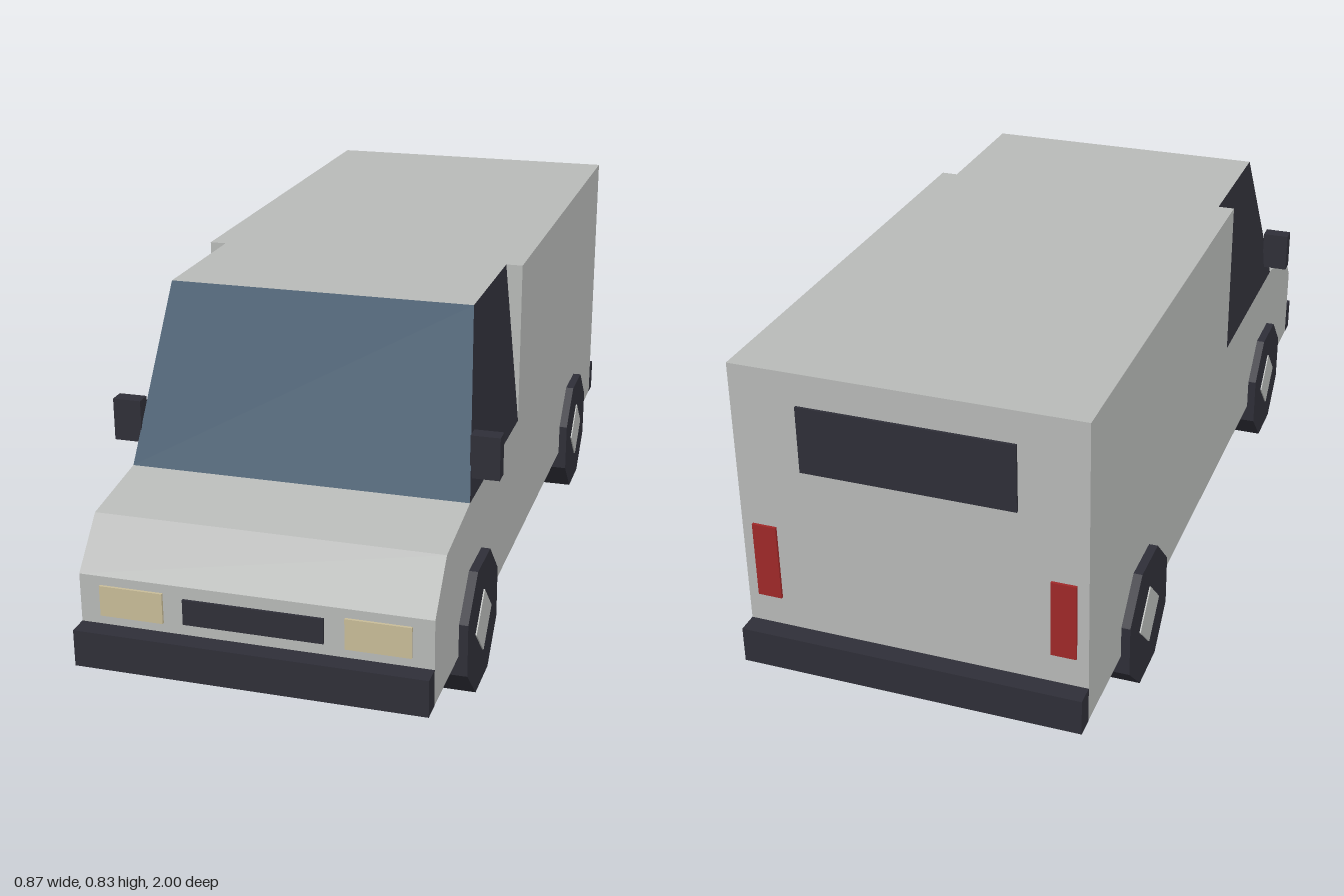
import * as THREE from 'three';

const mat = (name, color) => {
  const m = new THREE.MeshStandardMaterial({ color });
  m.name = name;
  return m;
};

// Flat convex panels, each a loop of [x, y, z] corners, fanned into triangles
function panelGeometry(loops) {
  const pos = [];
  for (const loop of loops) {
    for (let i = 1; i < loop.length - 1; i++) pos.push(...loop[0], ...loop[i], ...loop[i + 1]);
  }
  const geo = new THREE.BufferGeometry();
  geo.setAttribute('position', new THREE.Float32BufferAttribute(pos, 3));
  geo.computeVertexNormals();
  return geo;
}

export function createModel() {
  const paint = mat('grey paint', 0xb8bab8);
  const dark = mat('dark trim', 0x2f2f38);
  const glass = mat('blue glass', 0x435a6e);
  const lamp = mat('headlight cream', 0xc8bc98);
  const red = mat('tail light red', 0xa02828);
  for (const m of [paint, dark, glass]) {
    m.side = THREE.DoubleSide;
    m.flatShading = true;
  }

  const van = new THREE.Group();
  van.name = 'van';
  const add = (name, geo, material, x = 0, y = 0, z = 0) => {
    const mesh = new THREE.Mesh(geo, material);
    mesh.name = name;
    mesh.position.set(x, y, z);
    van.add(mesh);
    return mesh;
  };
  const box = (name, material, w, h, d, x, y, z) =>
    add(name, new THREE.BoxGeometry(w, h, d), material, x, y, z);

  const W = 0.38, RW = 0.342;              // half widths of body and cab roof
  const floor = 0.13, sill = 0.447, roof = 0.825;
  const nose = 0.955, cowl = 0.665, brow = 0.495, pillar = 0.165;

  // Strip running across the body between two [z, y] profile points
  const across = ([z0, y0], [z1, y1], w0 = W, w1 = W) =>
    [[-w0, y0, z0], [w0, y0, z0], [w1, y1, z1], [-w1, y1, z1]];

  // Side panel from [z, y] points, wound to face outwards on either side
  const sidePanel = (s, pts) => {
    const loop = pts.map(([z, y]) => [s * W, y, z]);
    return s > 0 ? loop.reverse() : loop;
  };

  // Hollow body shell, open underneath
  const front = [[nose, floor], [nose, 0.32], [0.865, 0.42], [cowl, sill]];
  const shell = [
    across(front[0], front[1]),
    across(front[1], front[2]),
    across(front[2], front[3]),
    across([brow, roof], [pillar, roof], RW, RW),
    across([pillar, roof], [-nose, roof]),
    across([-nose, roof], [-nose, floor]),
  ];
  for (const s of [-1, 1]) {
    shell.push(sidePanel(s, [[pillar, floor], ...front, [pillar, sill]]));
    shell.push(sidePanel(s, [[-nose, floor], [pillar, floor], [pillar, roof], [-nose, roof]]));
    // Small step where the cab narrows
    const step = [[s * W, sill, pillar], [s * W, roof, pillar], [s * RW, roof, pillar]];
    shell.push(s > 0 ? step : step.reverse());
  }
  add('bodyShell', panelGeometry(shell), paint);

  // Cab glazing, leaning inwards to the roof
  add('windscreen', panelGeometry([across([cowl, sill], [brow, roof], W, RW)]), glass);
  for (const s of [-1, 1]) {
    const win = [[s * W, sill, cowl], [s * W, sill, pillar], [s * RW, roof, pillar], [s * RW, roof, brow]];
    add('sideWindow', panelGeometry([s > 0 ? win : win.reverse()]), dark);
  }

  // Bumpers
  for (const s of [-1, 1]) {
    box(s > 0 ? 'frontBumper' : 'rearBumper', dark, 2 * W, 0.082, 0.045, 0, 0.17, s * 0.9775);
  }

  // Front and rear details
  box('grille', dark, 0.302, 0.056, 0.008, 0, 0.265, nose + 0.002);
  box('rearWindow', dark, 0.466, 0.15, 0.008, 0, 0.678, -nose - 0.002);
  for (const s of [-1, 1]) {
    box('headlight', lamp, 0.139, 0.068, 0.008, s * 0.265, 0.266, nose + 0.002);
    box('tailLight', red, 0.054, 0.175, 0.008, s * 0.328, 0.368, -nose - 0.002);
    box('mirror', dark, 0.064, 0.096, 0.036, s * 0.403, 0.538, 0.615);
  }

  // Full-width octagonal wheel rollers with diamond hubs
  for (const z of [0.603, -0.585]) {
    const wheel = new THREE.CylinderGeometry(0.157, 0.157, 0.8, 8);
    wheel.rotateY(Math.PI / 8).rotateZ(Math.PI / 2);
    add(z > 0 ? 'frontWheels' : 'rearWheels', wheel, dark, 0, 0.145, z);
    for (const s of [-1, 1]) {
      const hub = new THREE.CylinderGeometry(0.074, 0.074, 0.006, 4);
      hub.rotateZ(Math.PI / 2);
      add('hub', hub, paint, s * 0.4, 0.147, z);
    }
  }
  return van;
}
